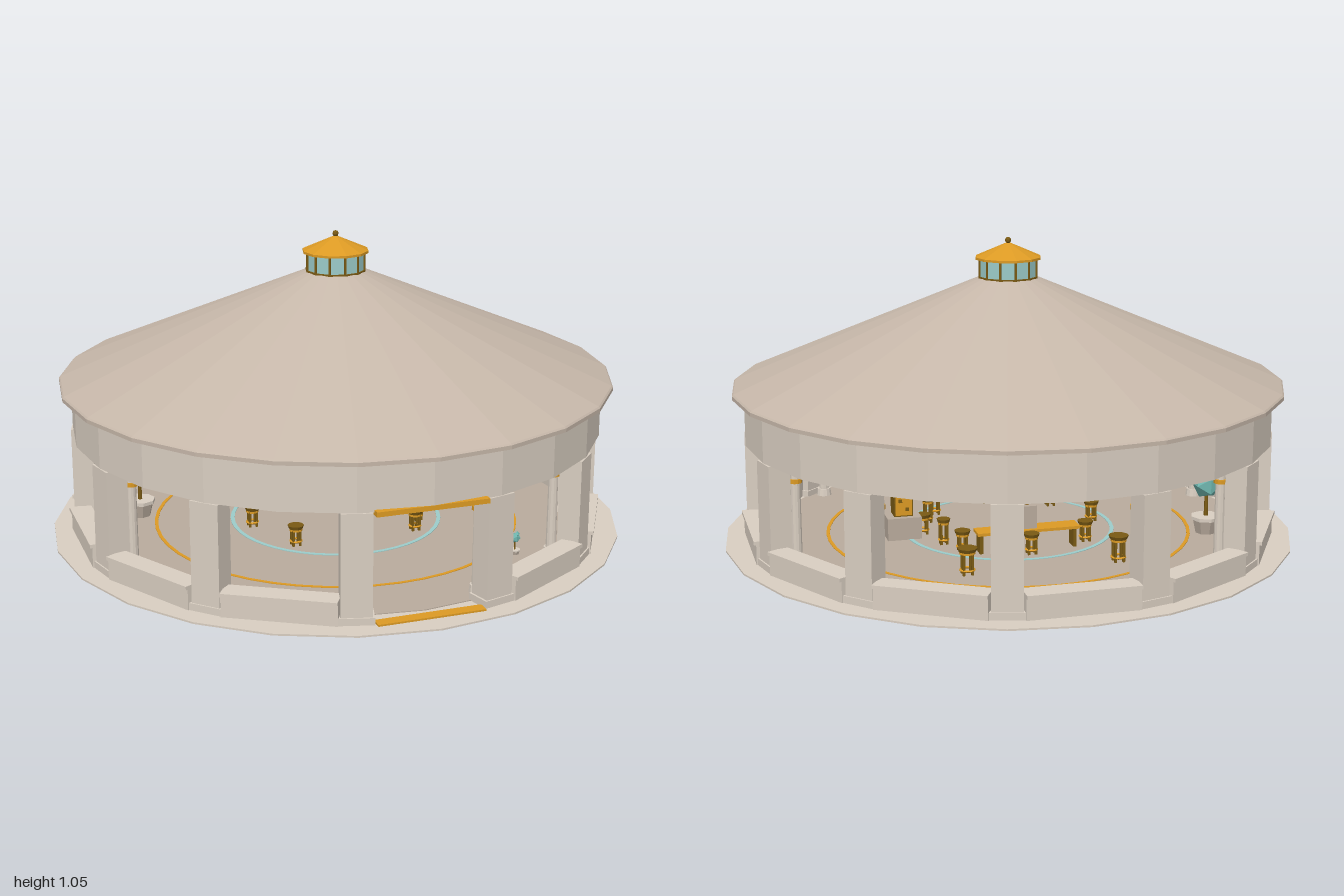
import * as THREE from 'three';

const mat = (name, color) => Object.assign(new THREE.MeshStandardMaterial({ color, flatShading: true }), { name });

export function createModel() {
  const stone = mat('stone', 0xd9cec1);
  const roofMat = mat('roof', 0xc6b7a9);
  roofMat.side = THREE.DoubleSide;
  const floorMat = mat('floor', 0xb9ab9d);
  const gold = mat('gold', 0xdc9a24);
  const bronze = mat('bronze', 0x7a5a14);
  const glass = mat('glass', 0x9cccca);
  const crystal = mat('crystal', 0x6fb5ae);
  const root = new THREE.Group();
  root.name = 'roundPavilion';

  const add = (name, geo, m, x = 0, y = 0, z = 0, parent = root) => {
    const mesh = new THREE.Mesh(geo, m);
    mesh.name = name;
    mesh.position.set(x, y, z);
    parent.add(mesh);
    return mesh;
  };
  const box = (w, h, d) => new THREE.BoxGeometry(w, h, d);
  const cyl = (top, bottom, h, n = 12, open = false) => new THREE.CylinderGeometry(top, bottom, h, n, 1, open);
  const lathe = (pts, n = 24) => new THREE.LatheGeometry(pts.map(p => new THREE.Vector2(...p)), n);
  const group = (name, x = 0, z = 0, angle = 0) => {
    const g = new THREE.Group();
    g.name = name;
    g.position.set(x, 0, z);
    g.rotation.y = angle;
    root.add(g);
    return g;
  };
  // A horizontal ring with a rectangular section
  const band = (inner, outer, y0, y1, n = 24) =>
    lathe([[inner, y0], [outer, y0], [outer, y1], [inner, y1], [inner, y0]], n);

  // Ground slab and floor with inlaid rings
  add('groundSlab', cyl(1, 1, 0.006, 24), stone, 0, 0.003);
  add('floor', cyl(0.86, 0.86, 0.004, 24), floorMat, 0, 0.007);
  add('goldFloorRing', band(0.634, 0.646, 0.007, 0.011, 48), gold);
  add('glassFloorRing', band(0.362, 0.376, 0.007, 0.011, 48), glass);

  // Pillars with plinths, and slender inner columns behind them
  for (let i = 0; i < 12; i++) {
    const bay = group('pillarBay', 0, 0, (i + 0.5) * Math.PI / 6);
    add('pillar', box(0.1, 0.37, 0.075), stone, 0, 0.185, 0.885, bay);
    add('pillarPlinth', box(0.115, 0.03, 0.085), stone, 0, 0.015, 0.885, bay);
    add('innerColumn', cyl(0.016, 0.018, 0.36), stone, 0, 0.186, 0.81, bay);
    add('columnFoot', cyl(0.024, 0.028, 0.03), stone, 0, 0.02, 0.81, bay);
    add('columnBand', cyl(0.023, 0.023, 0.014), gold, 0, 0.297, 0.81, bay);
    add('columnCapital', cyl(0.032, 0.018, 0.03), stone, 0, 0.35, 0.81, bay);
  }

  // Low walls in every bay except the front entrance
  for (let i = 1; i < 12; i++) {
    const bay = group('lowWallBay', 0, 0, i * Math.PI / 6);
    add('lowWall', box(0.37, 0.078, 0.06), stone, 0, 0.039, 0.885, bay);
    add('wallCap', box(0.37, 0.012, 0.076), stone, 0, 0.082, 0.885, bay);
  }

  // Entrance trim
  add('entranceLintel', box(0.37, 0.016, 0.03), gold, 0, 0.37, 0.905);
  add('entranceThreshold', box(0.36, 0.008, 0.04), gold, 0, 0.008, 0.905);

  // Upper wall ring and roof
  add('upperWall', band(0.84, 0.92, 0.37, 0.535), stone);
  add('cornice', band(0.83, 0.85, 0.37, 0.385), gold);
  add('roofCone', lathe([[0.955, 0.55], [0.1, 0.912]]), roofMat);
  add('roofEave', lathe([[0.84, 0.532], [0.96, 0.532], [0.96, 0.545], [0.955, 0.55]]), roofMat);

  // Rafters under the roof
  const slope = Math.atan2(0.355, 0.78);
  for (let i = 0; i < 12; i++) {
    const g = group('rafterBay', 0, 0, (i + 0.5) * Math.PI / 6);
    add('rafter', box(0.014, 0.018, 0.83), gold, 0, 0.71, 0.5, g).rotation.x = slope;
  }

  // Roof lantern
  add('lanternGlass', cyl(0.1, 0.1, 0.07), glass, 0, 0.945);
  add('lanternSill', cyl(0.105, 0.105, 0.008), bronze, 0, 0.912);
  for (let i = 0; i < 12; i++) {
    const a = i * Math.PI / 6;
    add('lanternPost', box(0.007, 0.07, 0.007), bronze, 0.1 * Math.sin(a), 0.945, 0.1 * Math.cos(a)).rotation.y = a;
  }
  add('lanternRim', cyl(0.115, 0.115, 0.008), gold, 0, 0.979);
  add('lanternCap', cyl(0.008, 0.115, 0.047), gold, 0, 1.0065);
  add('finial', new THREE.SphereGeometry(0.011, 8, 6), bronze, 0, 1.039);

  // Hanging ring light
  add('ringLight', new THREE.TorusGeometry(0.108, 0.006, 6, 24), gold, 0, 0.34).rotation.x = Math.PI / 2;
  add('lightRod', cyl(0.004, 0.004, 0.56, 6), bronze, 0, 0.63);
  for (let i = 0; i < 2; i++) {
    add('lightSpoke', box(0.216, 0.005, 0.005), bronze, 0, 0.342).rotation.y = i * Math.PI / 2;
  }

  // Stools: round seat on four legs with a foot ring
  const stool = (x, z, h, r) => {
    const s = group('stool', x, z);
    add('seat', cyl(r, r * 0.85, 0.012, 10), bronze, 0, h - 0.006, 0, s);
    add('seatTrim', cyl(r * 0.8, r * 0.8, 0.008, 10), gold, 0, h - 0.016, 0, s);
    for (let i = 0; i < 4; i++) {
      const a = (i + 0.5) * Math.PI / 2;
      add('leg', box(0.008, h - 0.02, 0.008), bronze, r * 0.6 * Math.sin(a), h / 2 - 0.005, r * 0.6 * Math.cos(a), s);
    }
    add('footRing', new THREE.TorusGeometry(r * 0.7, 0.004, 4, 10), gold, 0, 0.025, 0, s).rotation.x = Math.PI / 2;
  };
  for (let i = 0; i < 8; i++) stool(0.31 * Math.sin(i * Math.PI / 4), 0.31 * Math.cos(i * Math.PI / 4), 0.082, 0.028);
  for (const side of [-1, 1]) {
    stool(0.26 * side, -0.46, 0.1, 0.034);
    stool(0.265, 0.13 * side, 0.1, 0.024);
  }

  // Cabinet on a plinth with gold front and back plates
  const cabinet = group('cabinet', 0.385, 0);
  add('cabinetPlinth', box(0.12, 0.085, 0.11), floorMat, 0, 0.045, 0, cabinet);
  add('cabinetBody', box(0.066, 0.15, 0.066), bronze, 0, 0.162, 0, cabinet);
  add('cabinetCap', box(0.084, 0.014, 0.076), bronze, 0, 0.244, 0, cabinet);
  for (const s of [-1, 1]) {
    add('cabinetPanel', box(0.058, 0.135, 0.006), gold, 0, 0.16, s * 0.034, cabinet);
    for (let i = 0; i < 4; i++) {
      add('panelStud', box(0.012, 0.012, 0.004), bronze, (i % 2 - 0.5) * 0.024, 0.115 + i * 0.03, s * 0.038, cabinet);
    }
  }

  // Counter with a small seated figure
  const counter = group('counter', 0, -0.25);
  add('counterTop', box(0.36, 0.01, 0.07), gold, 0, 0.08, 0, counter);
  for (const s of [-1, 1]) add('counterLeg', box(0.012, 0.07, 0.05), bronze, s * 0.165, 0.04, 0, counter);
  add('figureBody', box(0.058, 0.08, 0.045), floorMat, 0, 0.125, 0, counter);
  add('figureHead', new THREE.SphereGeometry(0.014, 8, 6), gold, 0, 0.178, 0, counter);

  // Crystal trees in pots
  const crystalTree = (x, z, k) => {
    const t = group('crystalTree', x, z);
    t.scale.setScalar(k);
    add('pot', cyl(0.05, 0.036, 0.06, 8), floorMat, 0, 0.036, 0, t);
    add('potRim', cyl(0.054, 0.054, 0.012, 8), stone, 0, 0.064, 0, t);
    add('stem', cyl(0.006, 0.008, 0.09, 6), bronze, 0, 0.11, 0, t);
    add('crystalCrown', new THREE.IcosahedronGeometry(0.052, 0), crystal, 0, 0.185, 0, t);
    add('crystalTip', new THREE.OctahedronGeometry(0.03), crystal, 0.015, 0.222, 0.01, t);
  };
  crystalTree(-0.66, -0.235, 1);
  crystalTree(0.457, 0.535, 0.36);

  return root;
}
